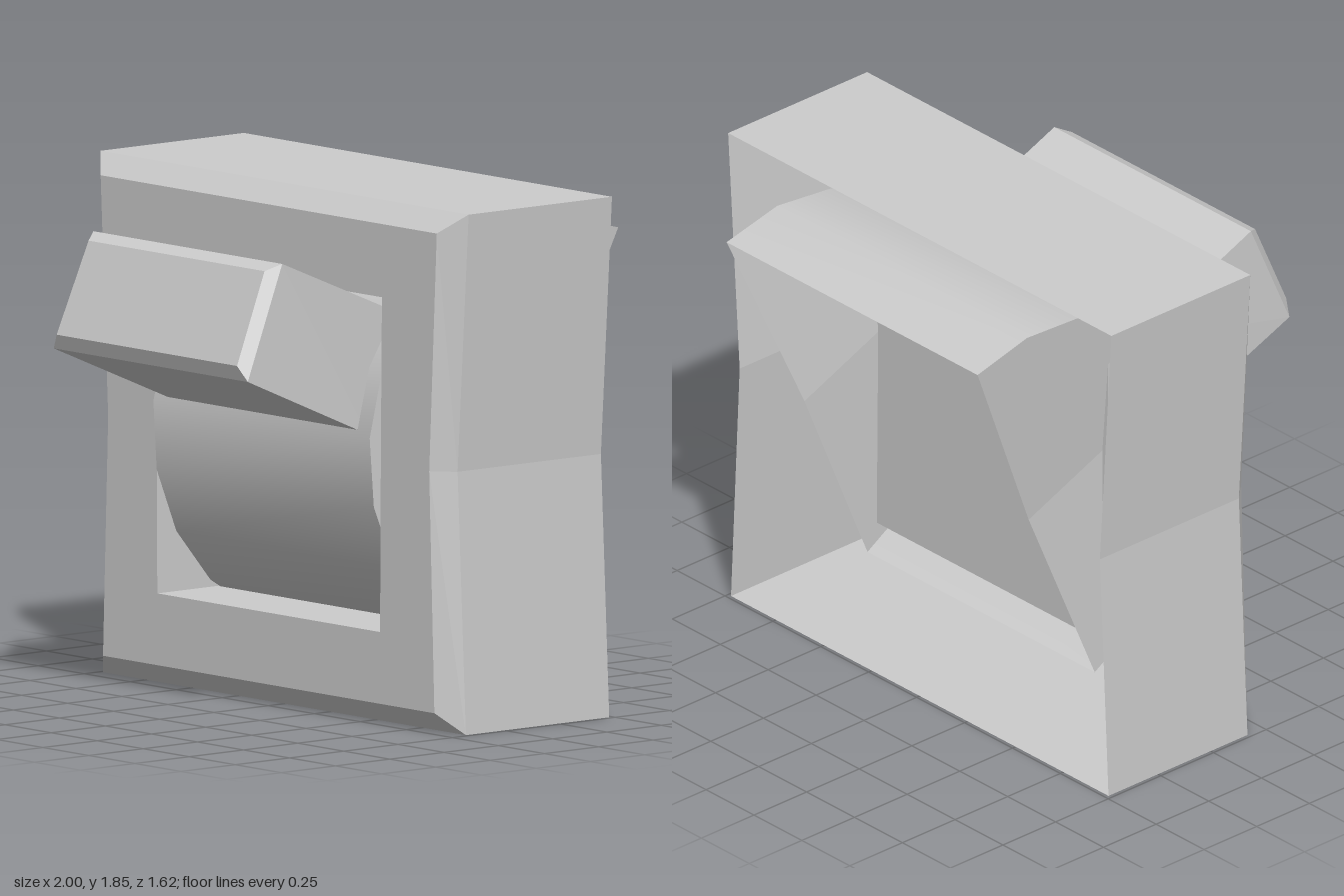
import * as THREE from 'three';
import { mergeVertices } from 'three/addons/utils/BufferGeometryUtils.js';

const flat = new THREE.MeshStandardMaterial({ color: 0xcccccc, flatShading: true, side: THREE.DoubleSide });
const smooth = new THREE.MeshStandardMaterial({ color: 0xcccccc, side: THREE.DoubleSide });

function triangles(points) {
  const g = new THREE.BufferGeometry();
  g.setAttribute('position', new THREE.Float32BufferAttribute(points.flat(), 3));
  g.computeVertexNormals();
  return g;
}

// Skin a series of loops, listed counter-clockwise as seen from the far end
function loft(loops, { closed = true, capEnd = false } = {}) {
  const out = [];
  for (let k = 0; k + 1 < loops.length; k++) {
    const a = loops[k], b = loops[k + 1], n = a.length;
    for (let i = 0; i < (closed ? n : n - 1); i++) {
      const j = (i + 1) % n;
      out.push(a[i], a[j], b[j], a[i], b[j], b[i]);
    }
  }
  if (capEnd) {
    const e = loops[loops.length - 1];
    for (let i = 1; i + 1 < e.length; i++) out.push(e[0], e[i], e[i + 1]);
  }
  return triangles(out);
}

// Six-point mirrored outline: half widths at bottom, waist and top
const outline = (z, [wb, yb], [wm, ym], [wt, yt]) => [
  [-wb, yb, z], [wb, yb, z], [wm, ym, z], [wt, yt, z], [-wt, yt, z], [-wm, ym, z],
];

// Rocker frame of reference: centre in the y-z plane, tilted upward
const CY = 0.95, CZ = -0.5, R = 0.784;
const TILT = THREE.MathUtils.degToRad(23);
// x, distance along the lever, distance along the rocker's chord
const tilted = (x, a, u) => [
  x,
  CY + a * Math.sin(TILT) + u * Math.cos(TILT),
  CZ + a * Math.cos(TILT) - u * Math.sin(TILT),
];

export function createModel() {
  const group = new THREE.Group();
  const add = (name, geometry, material = flat) => {
    const m = new THREE.Mesh(geometry, material);
    m.name = name;
    group.add(m);
  };

  // Housing: open-backed waisted shell with a bevelled front and a sunken window
  const outer = [[0.985, 0], [0.94, 0.93], [1, 1.85]];
  const face = [[0.9, 0.075], [0.872, 0.93], [0.913, 1.78]];
  const hole = [[0.605, 0.33], [0.609, 0.93], [0.615, 1.52]];
  add('housing', loft([
    outline(-0.485, ...outer),
    outline(0.175, ...outer),
    outline(0.248, ...face),
    outline(0.248, ...hole),
    outline(-0.15, ...hole),
  ], { capEnd: true }));

  // Rocker: hollow half drum, open at the back, flaring towards its top
  const halfWidth = (t) => 0.585 + (t > 0 ? 0.07 * t : -0.008 * t);
  const SEGMENTS = 10;
  const arc = (side) => Array.from({ length: SEGMENTS + 1 }, (_, i) => {
    const angle = -Math.PI / 2 + (Math.PI * i) / SEGMENTS;
    const t = Math.sin(angle);
    return tilted(side * halfWidth(t), R * Math.cos(angle), R * t);
  });
  const skin = loft([arc(-1), arc(1)], { closed: false });
  skin.deleteAttribute('normal');
  // Wind the skin so that it faces away from the drum's axis
  const p = skin.attributes.position, flipped = [];
  for (let i = 0; i < p.count; i += 3) {
    for (const j of [i, i + 2, i + 1]) flipped.push([p.getX(j), p.getY(j), p.getZ(j)]);
  }
  const skinSmooth = triangles(flipped);
  skinSmooth.deleteAttribute('normal');
  const welded = mergeVertices(skinSmooth);
  welded.computeVertexNormals();
  add('rockerDrum', welded, smooth);

  // Rocker end walls
  for (const side of [-1, 1]) {
    const rim = arc(side), centre = tilted(side * halfWidth(0), 0, 0), fan = [];
    for (let i = 0; i < SEGMENTS; i++) {
      fan.push(centre, ...(side > 0 ? [rim[i + 1], rim[i]] : [rim[i], rim[i + 1]]));
    }
    add(side > 0 ? 'leftRockerWall' : 'rightRockerWall', triangles(fan));
  }

  // Lever: block with a bevelled tip
  const section = (a, h, wb, wt) => [
    tilted(-wb, a, -h), tilted(wb, a, -h), tilted(wt, a, h), tilted(-wt, a, h),
  ];
  add('lever', loft([
    section(0.7, 0.22, 0.515, 0.515),
    section(1.31, 0.218, 0.527, 0.513),
    section(1.348, 0.175, 0.49, 0.478),
  ], { capEnd: true }));

  return group;
}
